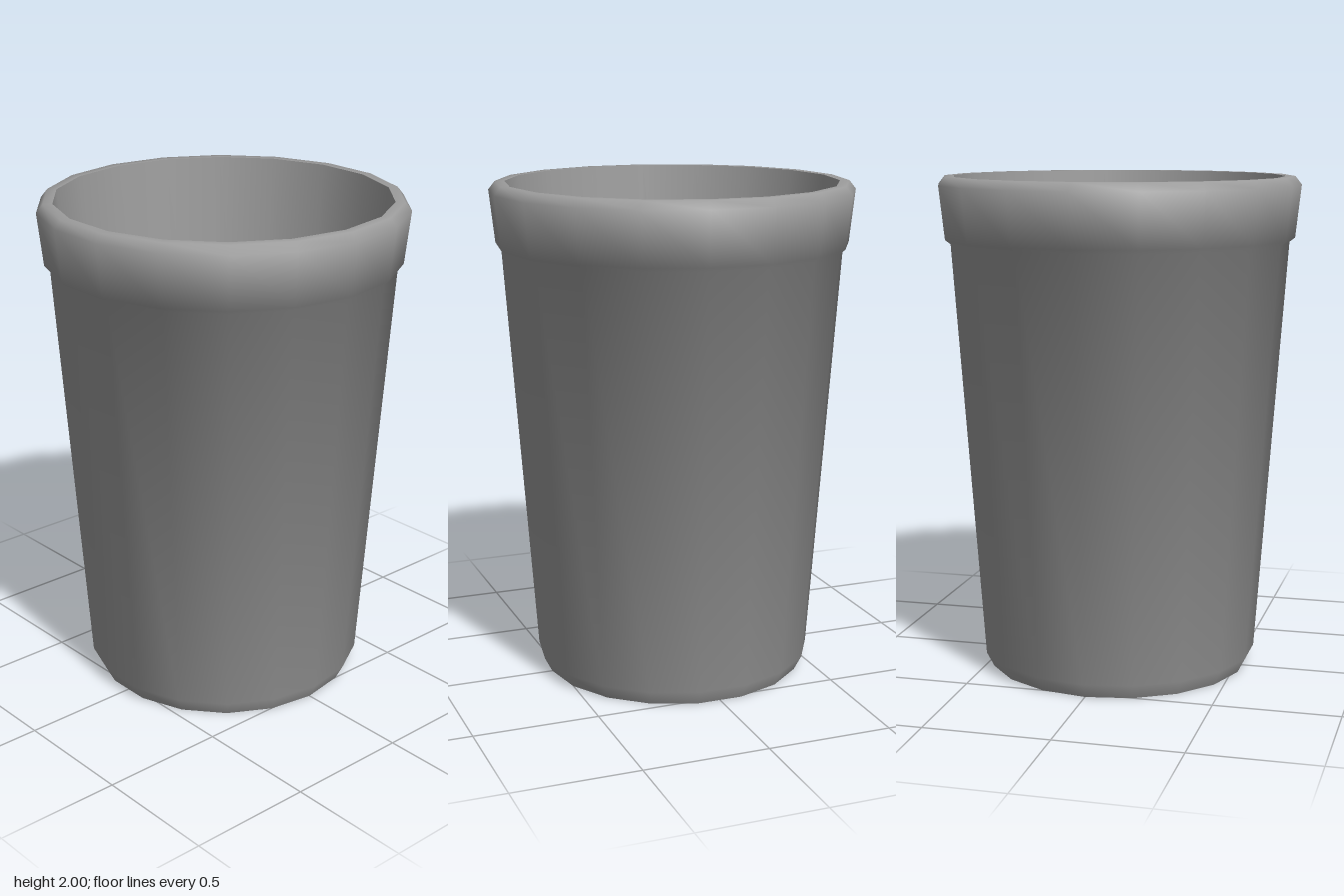
import * as THREE from 'three';

const SIDES = 18;
const FLOOR = 0.06;

// Lathed band whose normals blend evenly between neighbouring profile segments
function latheEven(points) {
  const geometry = new THREE.LatheGeometry(points, SIDES, Math.PI / 2);
  const normals = points.map((p, j) => {
    const sum = new THREE.Vector2();
    for (const k of [j - 1, j]) {
      if (k < 0 || k + 1 >= points.length) continue;
      const d = points[k + 1].clone().sub(points[k]).normalize();
      sum.add(new THREE.Vector2(d.y, -d.x));
    }
    return sum.normalize();
  });
  const attribute = geometry.attributes.normal;
  for (let i = 0; i < attribute.count; i++) {
    const n = normals[i % points.length];
    const phi = Math.PI / 2 + Math.floor(i / points.length) * 2 * Math.PI / SIDES;
    attribute.setXYZ(i, n.x * Math.sin(phi), n.y, n.x * Math.cos(phi));
  }
  return geometry;
}

export function createModel() {
  const cup = new THREE.Group();
  cup.name = 'cup';
  const material = new THREE.MeshStandardMaterial({ color: 0x9c9c9c });

  // Each band is smooth in itself; separate bands meet at a sharp edge.
  // Profiles run up the outside and down the inside so faces point outward.
  function band(name, profile) {
    const points = profile.map(([r, y]) => new THREE.Vector2(r, y));
    const mesh = new THREE.Mesh(latheEven(points), material);
    mesh.name = name;
    cup.add(mesh);
  }

  // Flat underside
  band('base', [[0, 0], [0.533, 0]]);

  // Tapered wall with a bevelled foot, running softly into the thick flared lip
  band('outerWallAndRim', [
    [0.533, 0], [0.564, 0.06], [0.684, 1.74],
    [0.706, 1.757], [0.729, 1.967], [0.703, 2], [0.665, 2],
  ]);

  // Hollow inside
  band('innerWall', [[0.665, 2], [0.503, FLOOR]]);
  band('innerFloor', [[0.503, FLOOR], [0, FLOOR]]);

  return cup;
}
